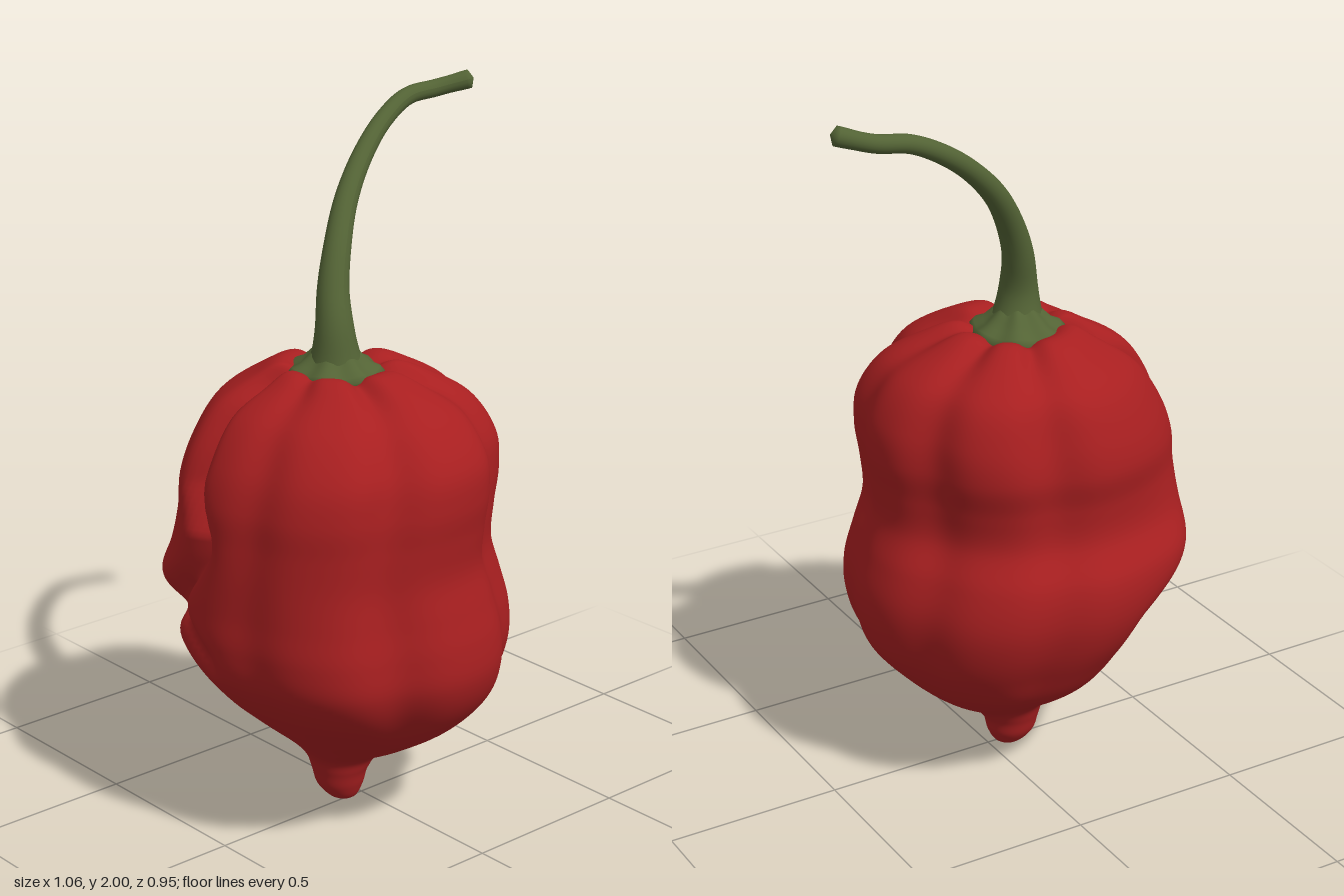
import * as THREE from 'three';

const RED = new THREE.MeshStandardMaterial({ color: 0xa81f20 });
RED.name = 'pepper red';
const GREEN = new THREE.MeshStandardMaterial({ color: 0x536335 });
GREEN.name = 'stem green';

const smooth = THREE.MathUtils.smoothstep;
const gauss = (d, w) => Math.exp(-(d * d) / (w * w));
const angleGap = (a, b) => ((a - b + 540) % 360) - 180;

// Body sections, bottom to top: y, min x, max x, min z, max z
const SECTIONS = [
  [0.0, -0.055, -0.055, -0.01, -0.01],
  [0.01, -0.095, -0.02, -0.05, 0.025],
  [0.05, -0.13, 0.005, -0.085, 0.045],
  [0.1, -0.145, 0.02, -0.1, 0.06],
  [0.15, -0.165, 0.07, -0.125, 0.09],
  [0.21, -0.22, 0.17, -0.2, 0.2],
  [0.3, -0.325, 0.27, -0.32, 0.335],
  [0.4, -0.435, 0.355, -0.395, 0.43],
  [0.5, -0.51, 0.39, -0.45, 0.475],
  [0.6, -0.535, 0.395, -0.475, 0.475],
  [0.7, -0.535, 0.37, -0.465, 0.455],
  [0.8, -0.53, 0.335, -0.41, 0.435],
  [0.9, -0.525, 0.34, -0.405, 0.44],
  [1.0, -0.52, 0.355, -0.42, 0.45],
  [1.1, -0.485, 0.345, -0.4, 0.435],
  [1.2, -0.41, 0.285, -0.35, 0.36],
  [1.27, -0.3, 0.17, -0.25, 0.25],
  [1.305, -0.23, 0.08, -0.17, 0.16],
  [1.28, -0.17, 0.01, -0.1, 0.09],
  [1.25, -0.12, -0.05, -0.04, 0.03],
];

// Grooves between lobes: angle in degrees from +x towards +z, depth, width
const GROOVES = [
  [16, 0.05, 10], [51, 0.085, 11], [113, 0.075, 11], [164, 0.045, 10],
  [284, 0.065, 11], [331, 0.065, 11],
];

// Swellings and hollows: angle, height, size, width in degrees, width in height
const BULGES = [
  [226, 0.75, 0.075, 18, 0.17], [226, 0.42, -0.07, 22, 0.12],
  [134, 0.5, 0.025, 15, 0.25], [315, 0.74, -0.035, 22, 0.17],
];

// Folded crease: angle and height along its path, with a branch below
const CREASE = [[203, 1.3], [201, 1.02], [193, 0.87], [208, 0.66], [240, 0.5]];
const CREASE_BRANCH = [[206, 0.67], [188, 0.55]];

// Distance over the skin from a point to a crease path
function creaseDistance(path, angle, y) {
  let best = Infinity;
  for (let i = 0; i < path.length - 1; i++) {
    const toSkin = ([a, h]) => [(a - angle) * 0.008, h - y];
    const [ax, ay] = toSkin(path[i]), [bx, by] = toSkin(path[i + 1]);
    const dx = bx - ax, dy = by - ay;
    const t = THREE.MathUtils.clamp(-(ax * dx + ay * dy) / (dx * dx + dy * dy), 0, 1);
    best = Math.min(best, Math.hypot(ax + dx * t, ay + dy * t));
  }
  return best;
}

// Relative change of the radius made by lobes, folds and bulges
function relief(angle, y) {
  const fade = smooth(y, 0.18, 0.42);
  const strength = fade * (0.8 + 0.6 * smooth(y, 0.8, 1.15));
  let k = 0;
  for (const [a, depth, width] of GROOVES) k -= strength * depth * gauss(angleGap(angle, a), width);
  for (const [a, h, size, width, tall] of BULGES) {
    k += fade * size * gauss(angleGap(angle, a), width) * gauss(y - h, tall);
  }
  k -= fade * (0.12 + 0.1 * smooth(y, 0.75, 1.0)) * gauss(creaseDistance(CREASE, angle, y), 0.052);
  k -= fade * 0.06 * gauss(creaseDistance(CREASE_BRANCH, angle, y), 0.045);
  return 1 + k;
}

function makeBody() {
  const curve = (lo, hi) => new THREE.CatmullRomCurve3(
    SECTIONS.map((s) => new THREE.Vector3(s[lo], s[0], s[hi])), false, 'catmullrom', 0.5);
  const xs = curve(1, 2), zs = curve(3, 4);
  const rings = 133, sides = 180, pos = [], index = [];
  for (let i = 0; i <= rings; i++) {
    const px = xs.getPoint(i / rings), pz = zs.getPoint(i / rings);
    const top = smooth(i / rings, 0.78, 0.88);
    for (let j = 0; j < sides; j++) {
      const deg = (j / sides) * 360, a = THREE.MathUtils.degToRad(deg);
      const k = relief(deg, px.y);
      pos.push(
        (px.x + px.z) / 2 + ((px.z - px.x) / 2) * Math.cos(a) * k,
        Math.max(0, px.y + top * Math.min(0, k - 1) * 0.25),
        (pz.x + pz.z) / 2 + ((pz.z - pz.x) / 2) * Math.sin(a) * k,
      );
      if (i === rings) continue;
      const n = (j + 1) % sides, p = i * sides, q = p + sides;
      index.push(p + j, q + j, p + n, q + j, q + n, p + n);
    }
  }
  const g = new THREE.BufferGeometry();
  g.setAttribute('position', new THREE.Float32BufferAttribute(pos, 3));
  g.setIndex(index);
  g.computeVertexNormals();
  return g;
}

// Tube whose rings taper along the path, closed at the tip
function makeStem() {
  const path = new THREE.CatmullRomCurve3([
    [-0.09, 1.27, 0.0], [-0.095, 1.4, 0.0], [-0.078, 1.5, -0.025], [-0.038, 1.6, -0.055],
    [0.032, 1.71, -0.1], [0.13, 1.81, -0.145], [0.24, 1.89, -0.18], [0.34, 1.938, -0.193],
    [0.43, 1.95, -0.178], [0.525, 1.974, -0.125],
  ].map((p) => new THREE.Vector3(...p)));
  const n = 90, sides = 20;
  const g = new THREE.TubeGeometry(path, n, 1, sides);
  const pos = g.attributes.position, v = new THREE.Vector3();
  for (let i = 0; i <= n; i++) {
    const t = i / n, c = path.getPointAt(t);
    const flare = 0.04 * Math.exp(-t / 0.06);
    const r = i === n ? 0 : 0.024 + 0.032 * Math.pow(1 - t, 2.2) + flare + 0.002 * smooth(t, 0.93, 0.98);
    for (let j = 0; j <= sides; j++) {
      const k = i * (sides + 1) + j;
      v.fromBufferAttribute(pos, k).sub(c).multiplyScalar(r).add(c);
      pos.setXYZ(k, v.x, v.y, v.z);
    }
  }
  g.computeVertexNormals();
  return g;
}

// Scalloped cap under the stem
function makeCalyx() {
  const profile = [[0.09, 1.24], [0.124, 1.265], [0.13, 1.283], [0.118, 1.297], [0.095, 1.307], [0.075, 1.327], [0.04, 1.36]];
  const g = new THREE.LatheGeometry(profile.map((p) => new THREE.Vector2(...p)), 72);
  const pos = g.attributes.position;
  for (let i = 0; i < pos.count; i++) {
    const x = pos.getX(i), z = pos.getZ(i), r = Math.hypot(x, z), a = Math.atan2(z, x);
    const k = 1 + 0.03 * Math.cos(7 * a + 0.6) * smooth(r, 0.06, 0.12);
    pos.setXYZ(i, x * k * 0.97 - 0.088, pos.getY(i) + 0.004 * Math.cos(7 * a + 0.6), z * k * 1.03 - 0.006);
  }
  g.computeVertexNormals();
  return g;
}

export function createModel() {
  const group = new THREE.Group();
  group.name = 'pepper';
  const add = (name, geometry, material) => {
    const mesh = new THREE.Mesh(geometry, material);
    mesh.name = name;
    group.add(mesh);
  };
  add('body', makeBody(), RED);
  add('calyx', makeCalyx(), GREEN);
  add('stem', makeStem(), GREEN);
  return group;
}
